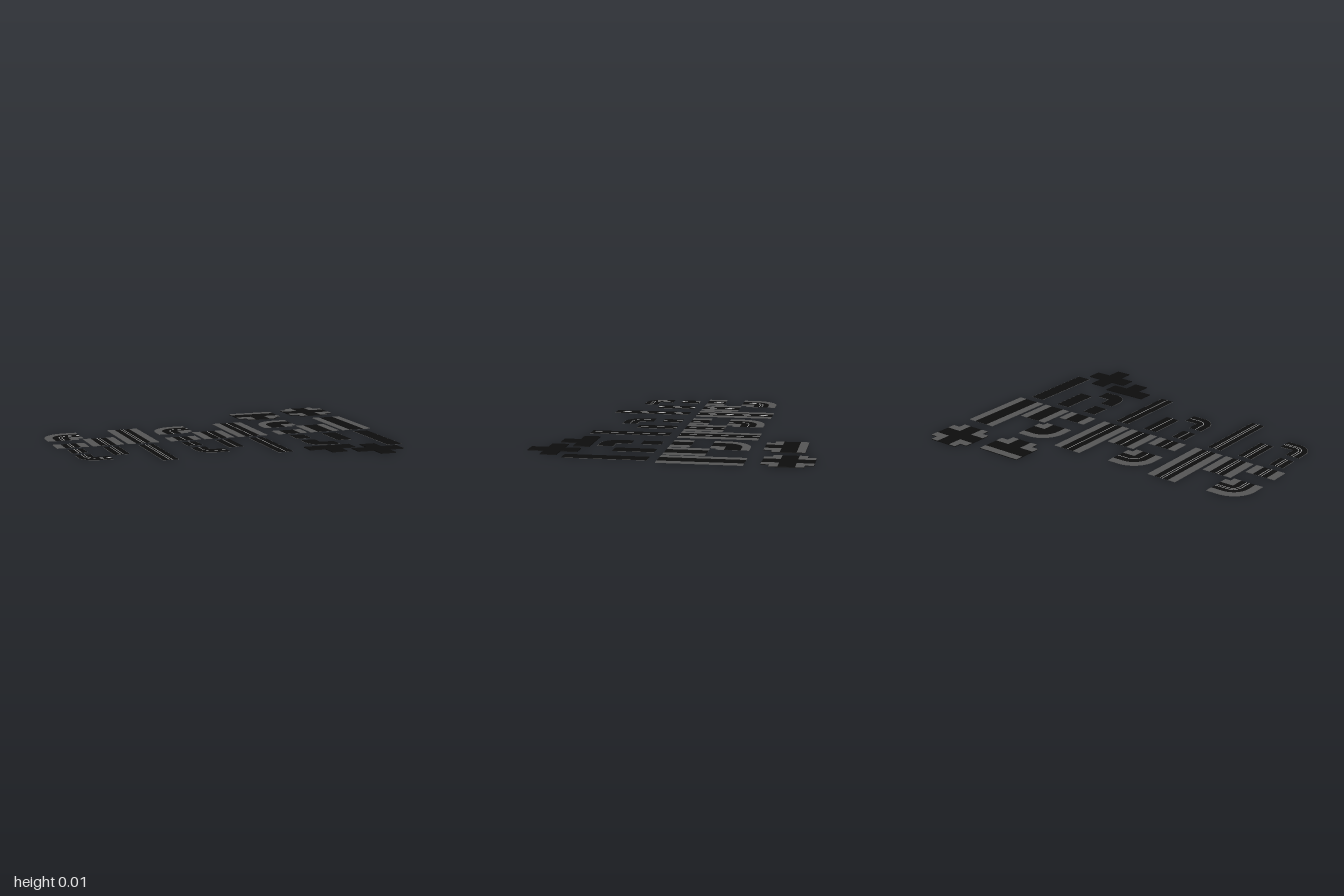
import * as THREE from 'three';

const asphalt = new THREE.MeshStandardMaterial({ color: 0x0d0d0d });
const concrete = new THREE.MeshStandardMaterial({ color: 0x555555 });
const paint = new THREE.MeshStandardMaterial({ color: 0xb0b0b0 });

const ROAD = 0.047, WALK = 0.095, ARM = 0.1425; // half widths
const LEG = 0.075, MID = 0.055; // bend: straight ends and centre-line radius

// Flat slab from an outline of [x, z] points, between two heights
function slab(name, points, y0, y1, material) {
  const shape = new THREE.Shape(points.map(([x, z]) => new THREE.Vector2(x, z)));
  const geo = new THREE.ExtrudeGeometry(shape, { depth: y1 - y0, bevelEnabled: false });
  geo.rotateX(Math.PI / 2).translate(0, y1, 0);
  const mesh = new THREE.Mesh(geo, material);
  mesh.name = name;
  return mesh;
}

const rect = (x0, x1, z0, z1) => [[x0, z0], [x1, z0], [x1, z1], [x0, z1]];

// One side of a bend; a negative radius gives a square inner corner
function bendEdge(r, s) {
  const pts = [[-r, LEG * s]];
  const n = r > 0 ? 16 : 0;
  if (!n) pts.push([-r, -r * s]);
  for (let i = 0; n && i <= n; i++) {
    const a = (i / n) * Math.PI / 2;
    pts.push([-r * Math.cos(a), -r * Math.sin(a) * s]);
  }
  pts.push([LEG, -r * s]);
  return pts;
}
const bendBand = (a, b, s) => [...bendEdge(MID + b, s), ...bendEdge(MID + a, s).reverse()];

// A road piece; band(a, b) outlines the strip between two offsets from its centre line
function roadPiece(name, band, lines, walk) {
  const g = new THREE.Group();
  g.name = name;
  const half = walk ? WALK : ROAD;
  g.add(slab('base', band(-half, half), 0, 0.001, concrete));
  const r = walk ? ROAD : ROAD - 0.003;
  g.add(slab('roadSurface', band(-r, r), 0.001, 0.002, asphalt));
  if (walk) {
    g.add(slab('sidewalkInner', band(-WALK, -ROAD), 0.001, 0.003, concrete));
    g.add(slab('sidewalkOuter', band(ROAD, WALK), 0.001, 0.003, concrete));
  }
  for (const o of lines) g.add(slab('centreLine', band(o - 0.002, o + 0.002), 0.002, 0.0026, paint));
  return g;
}

function straight(name, length, lines, walk) {
  return roadPiece(name, (a, b) => rect(a, b, 0, length), lines, walk);
}

// Outline of a cross or, with its far arm cut at `far`, of a T
function crossing(half, far) {
  const w = half, A = ARM;
  const near = [[A, -w], [A, w], [w, w], [w, A], [-w, A], [-w, w], [-A, w], [-A, -w]];
  return far > w ? [...near, [-w, -w], [-w, -far], [w, -far], [w, -w]] : near;
}

function junction(name, far, walk) {
  const g = new THREE.Group();
  g.name = name;
  g.add(slab('base', crossing(walk ? WALK : ROAD, far), 0, 0.004, asphalt));
  g.add(slab('roadSurface', crossing(ROAD, far), 0.004, 0.005, asphalt));
  if (!walk) return g;
  // L-shaped sidewalk corners, and a straight sidewalk behind the T
  const corner = [[ROAD, ROAD], [ARM, ROAD], [ARM, WALK], [WALK, WALK], [WALK, ARM], [ROAD, ARM]];
  const isCross = far > ROAD;
  for (const sx of [1, -1]) for (const sz of isCross ? [1, -1] : [1])
    g.add(slab('sidewalkCorner', corner.map(([x, z]) => [x * sx, z * sz]), 0.004, 0.006, concrete));
  if (!isCross) g.add(slab('sidewalkBack', rect(-ARM, ARM, -WALK, -ROAD), 0.004, 0.006, concrete));
  return g;
}

export function createModel() {
  const model = new THREE.Group();
  model.name = 'roadKit';
  const place = (piece, x, z) => { piece.position.set(x, 0, z); model.add(piece); };

  // Three sets: double line, single line, no line
  const lineSets = [[-0.008, 0.008], [0], []];
  lineSets.forEach((lines, i) => {
    const dx = i * 0.689;
    for (const walk of [true, false]) {
      const tag = walk ? 'WithSidewalk' : 'Plain';
      const s = walk ? 1 : -1;
      place(roadPiece('bend' + tag, (a, b) => bendBand(a, b, s), lines, walk),
        -0.85 + dx, walk ? -0.273 : 0.342);
      place(straight('shortRoad' + tag, 0.117, lines, walk), -0.905 + dx, walk ? -0.08 : 0.092);
      place(straight('mediumRoad' + tag, 0.237, lines, walk), -0.692 + dx, walk ? -0.2 : 0.092);
      place(straight('longRoad' + tag, 0.475, lines, walk), -0.478 + dx, walk ? -0.438 : 0.092);
    }
  });

  // Junctions
  place(junction('teeWithSidewalk', 0, true), 0.484, -0.643);
  place(junction('crossWithSidewalk', ARM, true), 0.857, -0.668);
  place(junction('teePlain', 0, false), 0.5, 0.528);
  place(junction('crossPlain', ARM, false), 0.744, 0.657);
  return model;
}
